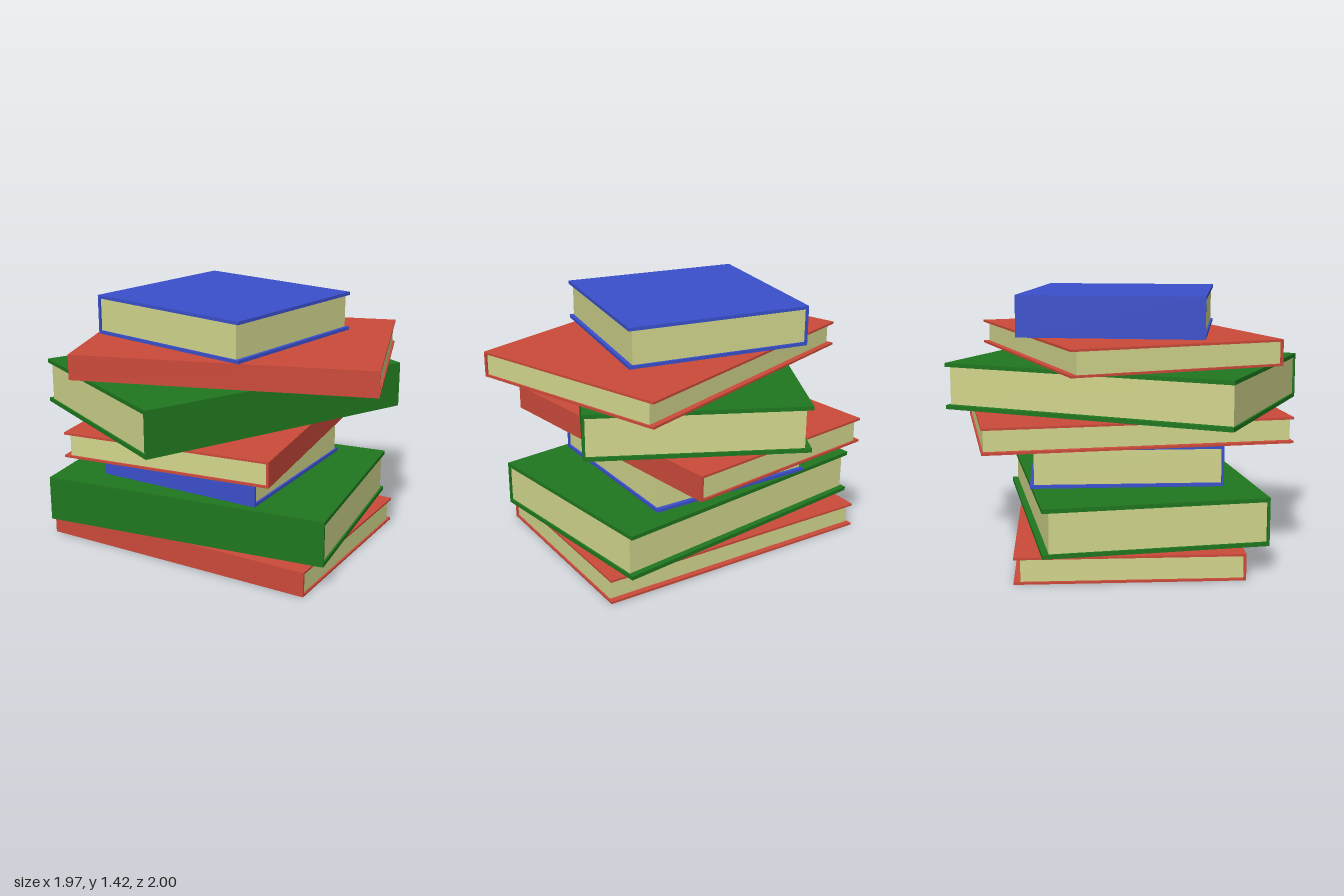
import * as THREE from 'three';

// Three book formats: width along the spine, depth, height, board and spine thickness, page recess
const FORMATS = {
  red: { color: 0xcc4a3a, width: 1.645, depth: 1.175, height: 0.14, board: 0.012, spine: 0.013, recess: 0.034 },
  green: { color: 0x1f771f, width: 1.645, depth: 1.172, height: 0.255, board: 0.022, spine: 0.014, recess: 0.034 },
  blue: { color: 0x3a50cc, width: 0.985, depth: 1.026, height: 0.22, board: 0.018, spine: 0.013, recess: 0.022 },
};
const END_INSET = 0.011;

// Stack from bottom to top: format, x, bottom y, z, turn about y (spine faces local +z)
const STACK = [
  ['red', -0.095, 0, -0.03, 0],
  ['green', -0.095, 0.152, 0, 0.134],
  ['blue', -0.097, 0.41, -0.027, 0],
  ['red', -0.095, 0.634, -0.035, 1.703],
  ['green', -0.095, 0.78, -0.004, 1.107],
  ['red', 0.018, 1.048, -0.03, 0.328],
  ['blue', -0.097, 1.2, -0.032, -1.742],
];

const pageMaterial = new THREE.MeshStandardMaterial({ color: 0xd2d68c });

function createBook(name) {
  const { color, width, depth, height, board, spine, recess } = FORMATS[name];
  const book = new THREE.Group();
  const d = depth / 2;

  // Cover: C-shaped section (two boards joined by the spine), extruded along the spine
  const section = new THREE.Shape([
    [-d, 0], [d, 0], [d, height], [-d, height],
    [-d, height - board], [d - spine, height - board], [d - spine, board], [-d, board],
  ].map(([x, y]) => new THREE.Vector2(x, y)));
  const coverGeometry = new THREE.ExtrudeGeometry(section, { depth: width, bevelEnabled: false });
  coverGeometry.translate(0, 0, -width / 2).rotateY(-Math.PI / 2);
  const cover = new THREE.Mesh(coverGeometry, new THREE.MeshStandardMaterial({ color }));
  cover.name = 'cover';

  // Page block, recessed from the open edges
  const pageDepth = depth - spine - recess;
  const pages = new THREE.Mesh(
    new THREE.BoxGeometry(width - 2 * END_INSET, height - 2 * board, pageDepth), pageMaterial);
  pages.position.set(0, height / 2, d - spine - pageDepth / 2);
  pages.name = 'pages';

  book.add(cover, pages);
  return book;
}

export function createModel() {
  const model = new THREE.Group();
  model.name = 'bookStack';
  STACK.forEach(([format, x, y, z, turn], i) => {
    const book = createBook(format);
    book.name = `${format}Book${i + 1}`;
    book.position.set(x, y, z);
    book.rotation.y = turn;
    model.add(book);
  });
  return model;
}
